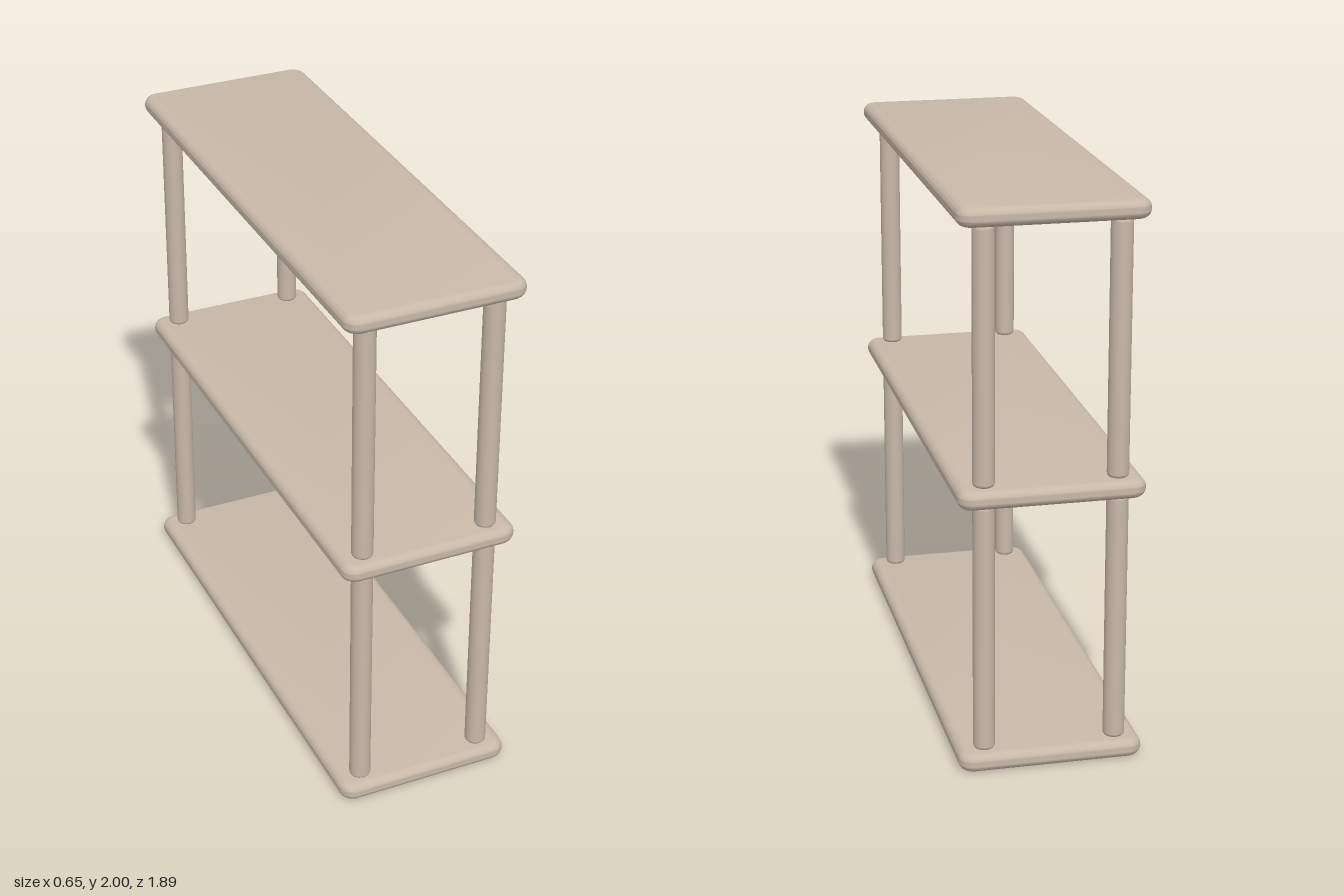
import * as THREE from 'three';
import { toCreasedNormals } from 'three/addons/utils/BufferGeometryUtils.js';

const WIDTH = 0.652, LENGTH = 1.886, THICK = 0.067;

// Rounded board with a half-round edge, centred on its own origin
function boardGeometry() {
  const bevel = 0.032, r = 0.022;
  const w = WIDTH / 2 - bevel, l = LENGTH / 2 - bevel;
  const s = new THREE.Shape();
  s.absarc(w - r, l - r, r, 0, Math.PI / 2);
  s.absarc(-w + r, l - r, r, Math.PI / 2, Math.PI);
  s.absarc(-w + r, -l + r, r, Math.PI, Math.PI * 1.5);
  s.absarc(w - r, -l + r, r, Math.PI * 1.5, Math.PI * 2);
  const g = new THREE.ExtrudeGeometry(s, {
    depth: THICK - 2 * bevel, bevelThickness: bevel, bevelSize: bevel,
    bevelSegments: 8, curveSegments: 8,
  });
  g.center();
  g.rotateX(-Math.PI / 2);
  return toCreasedNormals(g, 0.7);
}

// Round post with softened ends
function postGeometry(height) {
  const R = 0.038, b = 0.014, h = height / 2;
  const pts = [new THREE.Vector2(0, -h)];
  for (let i = 0; i <= 4; i++) {
    const a = (i / 4) * Math.PI / 2;
    pts.push(new THREE.Vector2(R - b + b * Math.sin(a), -h + b - b * Math.cos(a)));
  }
  for (let i = 5; i >= 0; i--) pts.push(new THREE.Vector2(pts[i].x, -pts[i].y));
  return new THREE.LatheGeometry(pts, 28);
}

export function createModel() {
  const group = new THREE.Group();
  const wood = new THREE.MeshStandardMaterial({ color: 0xc8b8a8 });
  wood.name = 'pale wood';

  // Three shelves
  const board = boardGeometry();
  const levels = { bottomShelf: 0.038, middleShelf: 1.002, topShelf: 1.9665 };
  for (const [name, y] of Object.entries(levels)) {
    const shelf = new THREE.Mesh(board, wood);
    shelf.name = name;
    shelf.position.y = y;
    group.add(shelf);
  }

  // Four posts on each storey
  const post = postGeometry(0.9);
  for (const [storey, y] of [['lower', 0.52], ['upper', 1.484]]) {
    for (const x of [-0.235, 0.23]) {
      for (const z of [-0.868, 0.87]) {
        const mesh = new THREE.Mesh(post, wood);
        mesh.name = `${storey}${z > 0 ? 'Front' : 'Back'}${x > 0 ? 'Left' : 'Right'}Post`;
        mesh.position.set(x, y, z);
        group.add(mesh);
      }
    }
  }
  return group;
}
